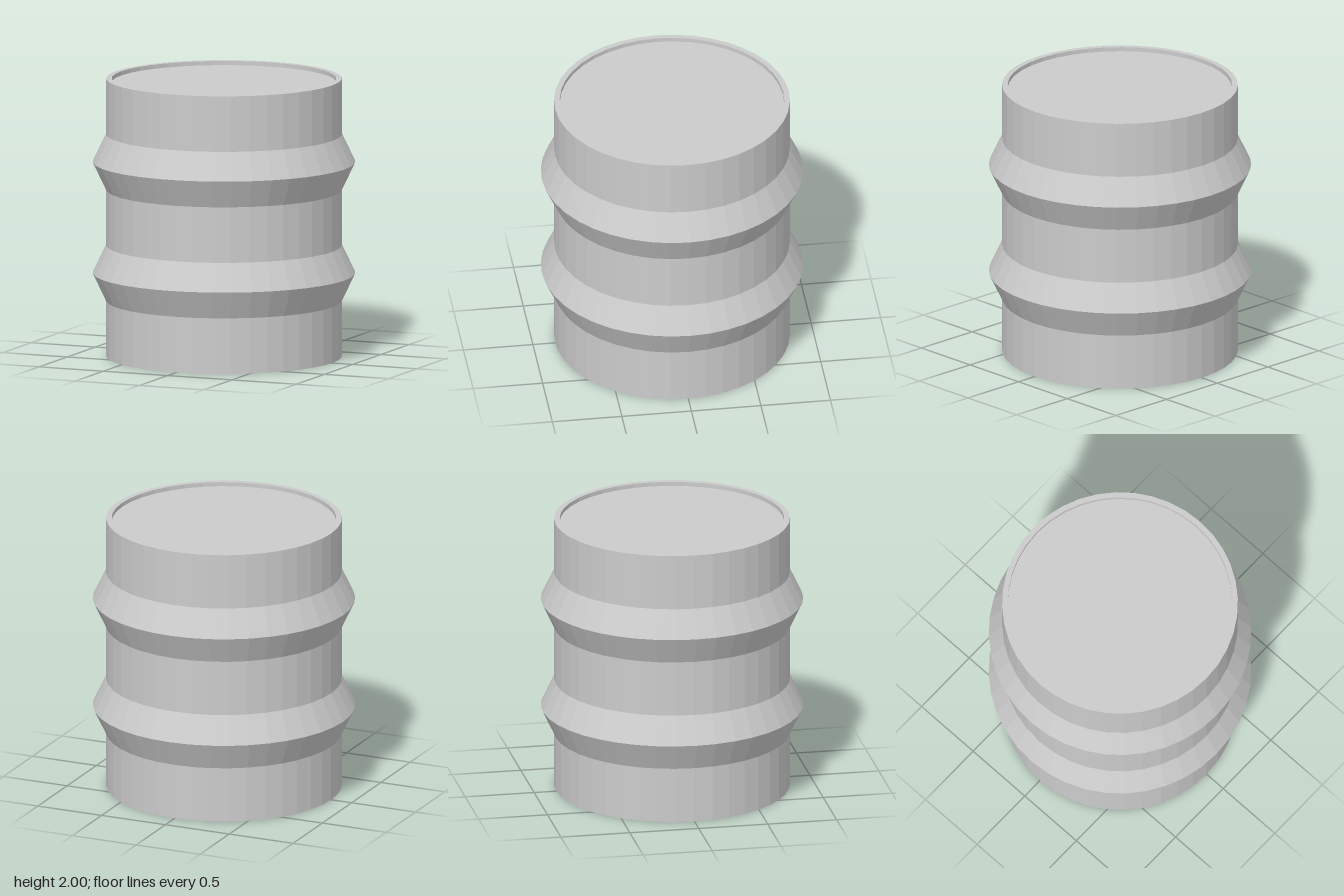
import * as THREE from 'three';

const SIDES = 40;
const RADIUS = 0.84, RIDGE = 0.935, INNER = 0.8, RECESS = 0.03;

export function createModel() {
  const group = new THREE.Group();
  group.name = 'barrel';
  const material = new THREE.MeshStandardMaterial({ color: 0xcccccc, flatShading: true });

  function lathe(name, points) {
    const profile = points.map(([r, y]) => new THREE.Vector2(r, y));
    const mesh = new THREE.Mesh(new THREE.LatheGeometry(profile, SIDES), material);
    mesh.name = name;
    group.add(mesh);
  }

  // Shell: two pointed ridges around a straight wall, with a narrow rim at each end
  const ridges = [0.6, 1.4].flatMap((y) => [[RADIUS, y - 0.2], [RIDGE, y], [RADIUS, y + 0.2]]);
  lathe('shell', [
    [INNER, RECESS], [INNER, 0], [RADIUS, 0],
    ...ridges,
    [RADIUS, 2], [INNER, 2], [INNER, 2 - RECESS],
  ]);

  // Recessed end discs
  lathe('lid', [[INNER, 2 - RECESS], [0, 2 - RECESS]]);
  lathe('base', [[0, RECESS], [INNER, RECESS]]);

  return group;
}
